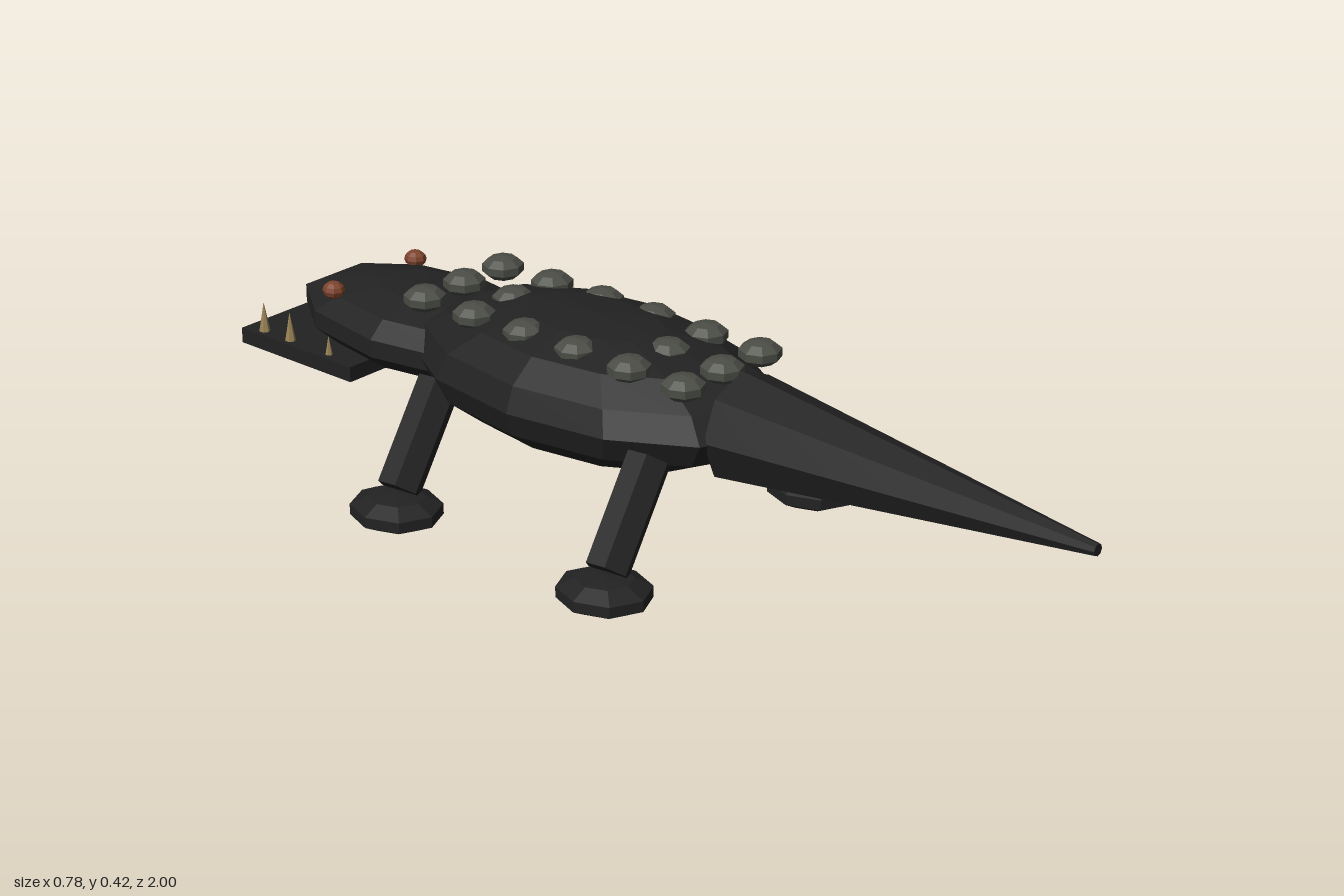
import * as THREE from 'three';

export function createModel() {
  const model = new THREE.Group();
  model.name = 'reptile';

  const paint = (name, color) => {
    const m = new THREE.MeshStandardMaterial({ color, flatShading: true });
    m.name = name;
    return m;
  };
  const hide = paint('charcoal hide', 0x222222);
  const scute = paint('mossy grey', 0x4a4c45);
  const eyeMat = paint('rust', 0x7d432c);
  const bone = paint('old bone', 0x9a8456);

  const add = (name, geometry, material, x, y, z) => {
    const mesh = new THREE.Mesh(geometry, material);
    mesh.name = name;
    mesh.position.set(x, y, z);
    model.add(mesh);
    return mesh;
  };
  // Faceted ellipsoid with its poles up and down
  const ellipsoid = (rx, ry, rz, around, high) =>
    new THREE.SphereGeometry(1, around, high).scale(rx, ry, rz);

  // Body and head; the head points to -z
  add('body', ellipsoid(0.245, 0.133, 0.43, 12, 8), hide, 0, 0.285, -0.17);
  add('head', ellipsoid(0.182, 0.082, 0.335, 10, 7), hide, 0, 0.278, -0.6);
  add('lowerJaw', new THREE.BoxGeometry(0.31, 0.032, 0.315), hide, 0, 0.191, -0.8425);

  // Tail tapering to +z
  const tail = new THREE.CylinderGeometry(0.012, 0.11, 0.8, 8, 6).rotateX(Math.PI / 2);
  add('tail', tail, hide, 0, 0.288, 0.6);

  // Splayed legs and flat feet
  const up = new THREE.Vector3(0, 1, 0);
  const footGeo = ellipsoid(0.09, 0.035, 0.1, 8, 5);
  for (const side of [-1, 1]) {
    for (const [place, z] of [['front', -0.41], ['rear', 0.13]]) {
      const top = new THREE.Vector3(side * 0.163, 0.251, z - 0.016);
      const foot = new THREE.Vector3(side * 0.298, 0.075, z);
      const along = top.clone().sub(foot);
      const mid = top.clone().add(foot).multiplyScalar(0.5);
      const leg = add(place + 'Leg', new THREE.CylinderGeometry(0.045, 0.045, along.length(), 6),
        hide, mid.x, mid.y, mid.z);
      leg.quaternion.setFromUnitVectors(up, along.normalize());
      add(place + 'Foot', footGeo, hide, side * 0.305, 0.036, z);
    }
  }

  // Three rows of scutes along the back
  const scuteGeo = ellipsoid(0.044, 0.025, 0.044, 8, 5);
  for (let i = 0; i < 6; i++) {
    for (const x of [-0.11, 0, 0.11]) add('scute', scuteGeo, scute, x, 0.388, -0.513 + i * 0.133);
  }

  // Eyes and lower teeth
  const eyeGeo = ellipsoid(0.022, 0.018, 0.024, 8, 6);
  const toothGeo = new THREE.ConeGeometry(0.012, 0.065, 6);
  for (const side of [-1, 1]) {
    add('eye', eyeGeo, eyeMat, side * 0.115, 0.34, -0.765);
    for (const [y, z] of [[0.215, -0.765], [0.235, -0.877], [0.237, -0.953]]) {
      add('tooth', toothGeo, bone, side * 0.135, y, z);
    }
  }
  return model;
}
